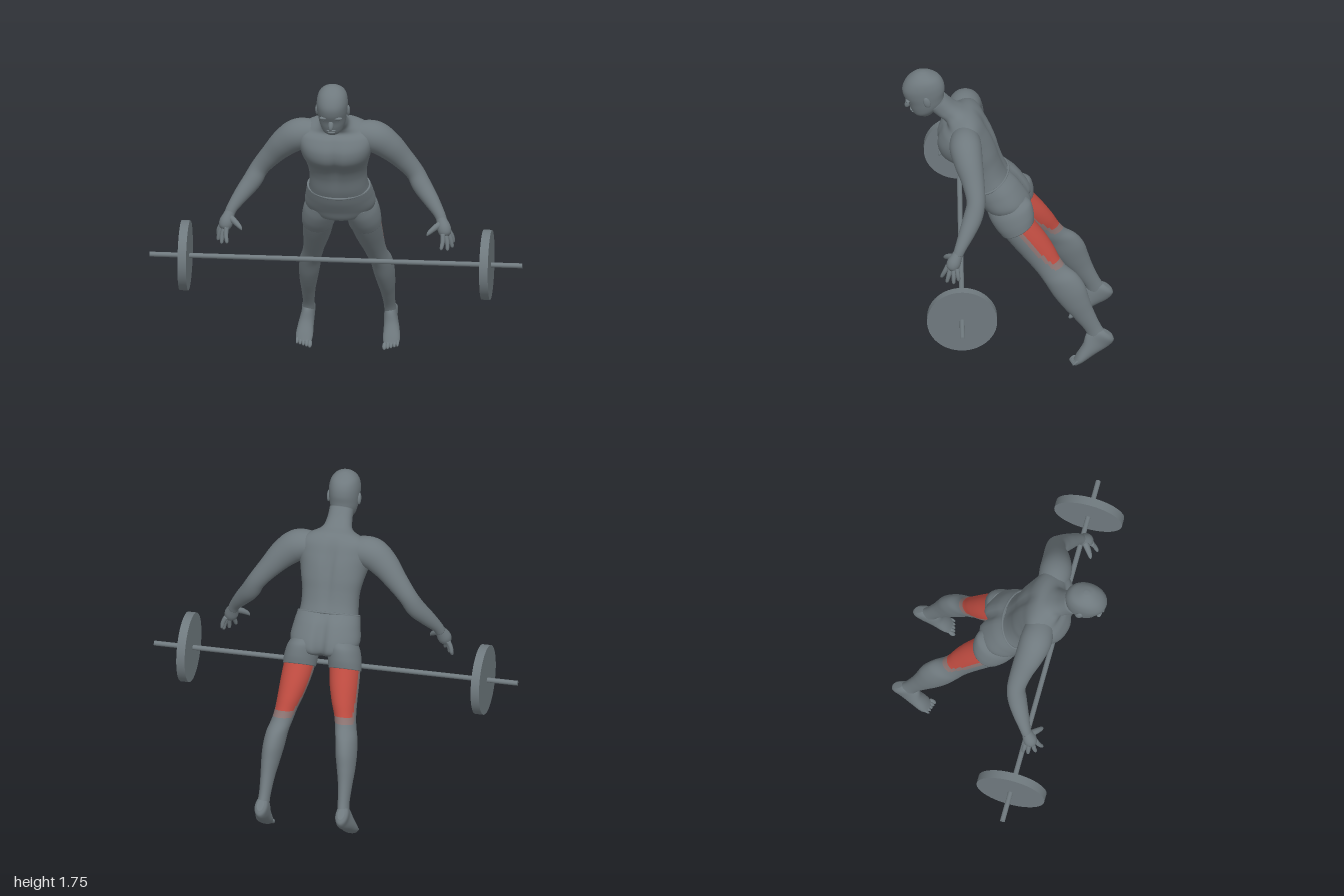
import * as THREE from 'three';

const skin = new THREE.MeshStandardMaterial({ color: 0x6f797e });
skin.name = 'slate grey';
const muscleRed = new THREE.MeshStandardMaterial({ color: 0xbd4b40 });
muscleRed.name = 'muscle red';
const muscleFade = new THREE.MeshStandardMaterial({ color: 0x8b7371 });
muscleFade.name = 'faded red';

// Catmull-Rom interpolation through rows of numbers, v in 0..1
function spline(rows, v) {
  const n = rows.length - 1, t = v * n, i = Math.min(Math.floor(t), n - 1), f = t - i;
  const at = k => rows[Math.min(Math.max(k, 0), n)];
  const [a, b, c, d] = [at(i - 1), at(i), at(i + 1), at(i + 2)];
  return b.map((_, k) => b[k] + 0.5 * f * (c[k] - a[k] + f * (2 * a[k] - 5 * b[k] + 4 * c[k] - d[k]
    + f * (3 * (b[k] - c[k]) + d[k] - a[k]))));
}

// Closed skin over rings; point(v, angle) gives a vertex, zone picks a material slot
function surface(point, segs, steps, zone) {
  const pos = [], lists = [[], [], []];
  for (let i = 0; i <= steps; i++)
    for (let j = 0; j < segs; j++) pos.push(...point(i / steps, j / segs * Math.PI * 2));
  for (const i of [0, steps]) {
    const c = [0, 0, 0];
    for (let j = 0; j < segs; j++) for (let k = 0; k < 3; k++) c[k] += pos[(i * segs + j) * 3 + k] / segs;
    pos.push(...c);
  }
  const first = segs * (steps + 1), top = steps * segs;
  for (let j = 0; j < segs; j++) {
    const m = (j + 1) % segs;
    for (let i = 0; i < steps; i++) {
      const a = i * segs + j, b = a + segs, c = i * segs + m, d = c + segs;
      const slot = zone ? zone((i + 0.5) / steps, (j + 0.5) / segs * Math.PI * 2) : 0;
      lists[slot].push(a, b, c, c, b, d);
    }
    lists[0].push(first, j, m, first + 1, top + m, top + j);
  }
  const geo = new THREE.BufferGeometry();
  geo.setAttribute('position', new THREE.Float32BufferAttribute(pos, 3));
  geo.setIndex(lists.flat());
  if (zone) {
    let start = 0;
    lists.forEach((l, k) => { geo.addGroup(start, l.length, k); start += l.length; });
  }
  geo.computeVertexNormals();
  return geo;
}

// Rows: front z, front y, back z, back y, centre x, half width (listed upwards)
function loft(rows, { segs = 40, steps = 48, power = 2, zone, groove } = {}) {
  const sq = c => Math.sign(c) * Math.abs(c) ** (2 / power);
  return surface((v, a) => {
    const [fz, fy, bz, by, x0, w] = spline(rows, v);
    const dx = w * sq(Math.cos(a));
    let s = sq(Math.sin(a)) / 2;
    if (groove) s -= s * groove(v, Math.sin(a) > 0) * Math.exp(-((dx / 0.025) ** 2));
    return [x0 + dx, (fy + by) / 2 + s * (fy - by), (fz + bz) / 2 + s * (fz - bz)];
  }, segs, steps, zone);
}

// Rows: x, y, z, radius
function limb(rows, segs = 24, steps = 40) {
  const ref = new THREE.Vector3(0, 0, 1);
  return surface((v, a) => {
    const [x, y, z, r] = spline(rows, v);
    const p = spline(rows, Math.max(v - 0.01, 0)), q = spline(rows, Math.min(v + 0.01, 1));
    const t = new THREE.Vector3(q[0] - p[0], q[1] - p[1], q[2] - p[2]).normalize();
    const u = new THREE.Vector3().crossVectors(ref, t).normalize();
    const w = new THREE.Vector3().crossVectors(t, u);
    const c = r * Math.cos(a), s = -r * Math.sin(a);
    return [x + c * u.x + s * w.x, y + c * u.y + s * w.y, z + c * u.z + s * w.z];
  }, segs, steps);
}

function ball(x, y, z, rx, ry, rz, tilt = 0) {
  return new THREE.SphereGeometry(1, 20, 14).scale(rx, ry, rz).rotateX(tilt).translate(x, y, z);
}

function mirrored(geo) {
  const g = geo.clone().scale(-1, 1, 1), ix = g.index;
  for (let i = 0; i < ix.count; i += 3) {
    const b = ix.getX(i + 1);
    ix.setX(i + 1, ix.getX(i + 2));
    ix.setX(i + 2, b);
  }
  return g;
}

export function createModel() {
  const model = new THREE.Group();
  model.name = 'athleteWithBarbell';
  const add = (name, geo, mat = skin) => {
    const mesh = new THREE.Mesh(geo, mat);
    mesh.name = name;
    model.add(mesh);
  };
  const pair = (name, geo, mat) => {
    add(name + 'Left', geo, mat);
    add(name + 'Right', mirrored(geo), mat);
  };

  // Torso and neck, with a spine furrow and a breastbone line
  add('torso', loft([
    [.19, 1.0, 0, 1.1, 0, .163], [.222, 1.06, .028, 1.16, 0, .155], [.252, 1.14, .05, 1.225, 0, .155],
    [.295, 1.205, .068, 1.29, 0, .168], [.368, 1.262, .092, 1.355, 0, .185], [.385, 1.33, .12, 1.41, 0, .2],
    [.36, 1.395, .152, 1.465, 0, .2], [.332, 1.43, .19, 1.5, 0, .15], [.345, 1.455, .245, 1.52, 0, .085],
    [.385, 1.485, .295, 1.55, 0, .068], [.43, 1.525, .345, 1.6, 0, .064],
  ], { segs: 64, steps: 80, power: 2.35,
    groove: (v, front) => Math.sin(Math.min(v / 0.72, 1) * Math.PI) * (front ? 0.09 : 0.13) }));

  // Head
  add('head', loft([
    [.462, 1.47, .41, 1.49, 0, .026], [.503, 1.487, .378, 1.535, 0, .055], [.525, 1.522, .352, 1.57, 0, .069],
    [.54, 1.562, .348, 1.612, 0, .077], [.564, 1.605, .345, 1.65, 0, .082], [.571, 1.65, .354, 1.69, 0, .082],
    [.55, 1.70, .377, 1.722, 0, .071], [.512, 1.737, .417, 1.743, 0, .045], [.475, 1.753, .447, 1.753, 0, .012],
  ], { power: 2.15 }));
  add('nose', ball(0, 1.551, .538, .015, .032, .017, -.45));
  add('upperLip', ball(0, 1.514, .519, .025, .007, .012));
  add('lowerLip', ball(0, 1.502, .512, .021, .007, .011));
  pair('brow', ball(.035, 1.59, .541, .027, .009, .014));
  pair('eye', ball(.033, 1.573, .522, .015, .008, .012));
  pair('ear', ball(.084, 1.605, .44, .01, .032, .019, .3));

  // Shorts: seat plus two short legs
  add('shortsSeat', loft([
    [.06, .86, -.07, .9, 0, .07], [.115, .875, -.118, .935, 0, .15], [.148, .925, -.108, .99, 0, .188],
    [.185, .98, -.052, 1.075, 0, .18], [.208, 1.025, .004, 1.125, 0, .169],
  ], { segs: 56, power: 2.2, groove: (v, front) => front ? 0 : 0.4 * (1 - v) ** 0.6 }));
  pair('shortsLeg', loft([
    [.038, .778, -.132, .873, .125, .088], [.072, .82, -.13, .92, .12, .09],
    [.102, .87, -.115, .975, .11, .087], [.12, .92, -.085, 1.0, .1, .075],
  ], { steps: 24 }));
  const waistband = [];
  for (let i = 0; i < 32; i++) {
    const a = i / 32 * Math.PI * 2, s = Math.sin(a);
    waistband.push(new THREE.Vector3(.166 * Math.cos(a), 1.075 - .05 * s, .106 + .102 * s));
  }
  add('waistband', new THREE.TubeGeometry(new THREE.CatmullRomCurve3(waistband, true), 64, .006, 8, true));

  // Legs, with the highlighted hamstring on the back of each thigh
  pair('leg', loft([
    [-.425, .15, -.525, .19, .222, .034], [-.405, .215, -.487, .25, .217, .031],
    [-.345, .295, -.448, .345, .213, .038], [-.29, .36, -.425, .42, .208, .048],
    [-.235, .434, -.402, .495, .2, .056], [-.19, .51, -.362, .555, .19, .057],
    [-.155, .56, -.305, .6, .175, .056], [-.118, .605, -.268, .65, .163, .058],
    [-.065, .665, -.235, .715, .148, .068], [-.01, .73, -.188, .79, .135, .078],
    [.032, .785, -.126, .872, .125, .083], [.06, .83, -.1, .91, .12, .08],
  ], { segs: 48, steps: 88, zone: (v, a) => {
    const t = v * 11, s = Math.sin(a), edge = -.32 - Math.max(0, 8 - t) * .2;
    if (t > 7 && s < edge) return 1;
    return t > 6.4 && s < edge + .27 ? 2 : 0;
  } }), [skin, muscleRed, muscleFade]);

  // Feet on tiptoe
  pair('foot', loft([
    [-.34, .035, -.358, .012, .233, .036], [-.36, .075, -.398, .036, .234, .046],
    [-.392, .135, -.455, .075, .23, .042], [-.412, .2, -.525, .118, .222, .036],
    [-.46, .23, -.556, .155, .222, .034], [-.5, .225, -.55, .185, .222, .018],
  ], { steps: 32 }));
  for (let i = 0; i < 5; i++) {
    const r = .012 - i * .0012;
    pair('toe' + (i + 1), ball(.2 + i * .0175, .024 + i * .004, -.338 - i * .004, r, r, .024, .75));
  }

  // Arms
  pair('arm', limb([
    [.11, 1.4, .235, .075], [.2, 1.395, .235, .086], [.275, 1.345, .22, .077], [.35, 1.265, .195, .06],
    [.415, 1.185, .182, .05], [.455, 1.115, .198, .051], [.505, 1.05, .23, .043],
    [.553, .985, .265, .031], [.57, .95, .28, .028],
  ], 32, 56));

  // Hands with spread fingers
  pair('palm', limb([
    [.56, .97, .272, .024], [.572, .945, .285, .03], [.585, .91, .302, .037], [.593, .882, .312, .03],
    [.597, .868, .317, .01],
  ], 20, 24));
  const fingers = [
    [.612, .89, .285, .632, .832, .277], [.606, .883, .303, .628, .812, .303],
    [.594, .88, .32, .606, .806, .338], [.58, .888, .334, .576, .818, .366],
  ];
  fingers.forEach(([x, y, z, u, v, w], i) => pair('finger' + (i + 1), limb([
    [x, y, z, .013], [(x + u) / 2 + .004, (y + v) / 2, (z + w) / 2, .012],
    [u, v, w, .009], [u, v - .006, w, .002],
  ], 12, 14)));
  pair('thumb', limb([
    [.565, .935, .3, .018], [.535, .918, .325, .016], [.508, .897, .345, .011], [.497, .882, .35, .003],
  ], 12, 14));

  // Barbell
  const rod = (name, r, len, x, segs) =>
    add(name, new THREE.CylinderGeometry(r, r, len, segs).rotateZ(Math.PI / 2).translate(x, .7, .26));
  rod('bar', .0135, 2, 0, 24);
  rod('weightPlateLeft', .1875, .046, .81, 64);
  rod('weightPlateRight', .1875, .046, -.81, 64);
  return model;
}
